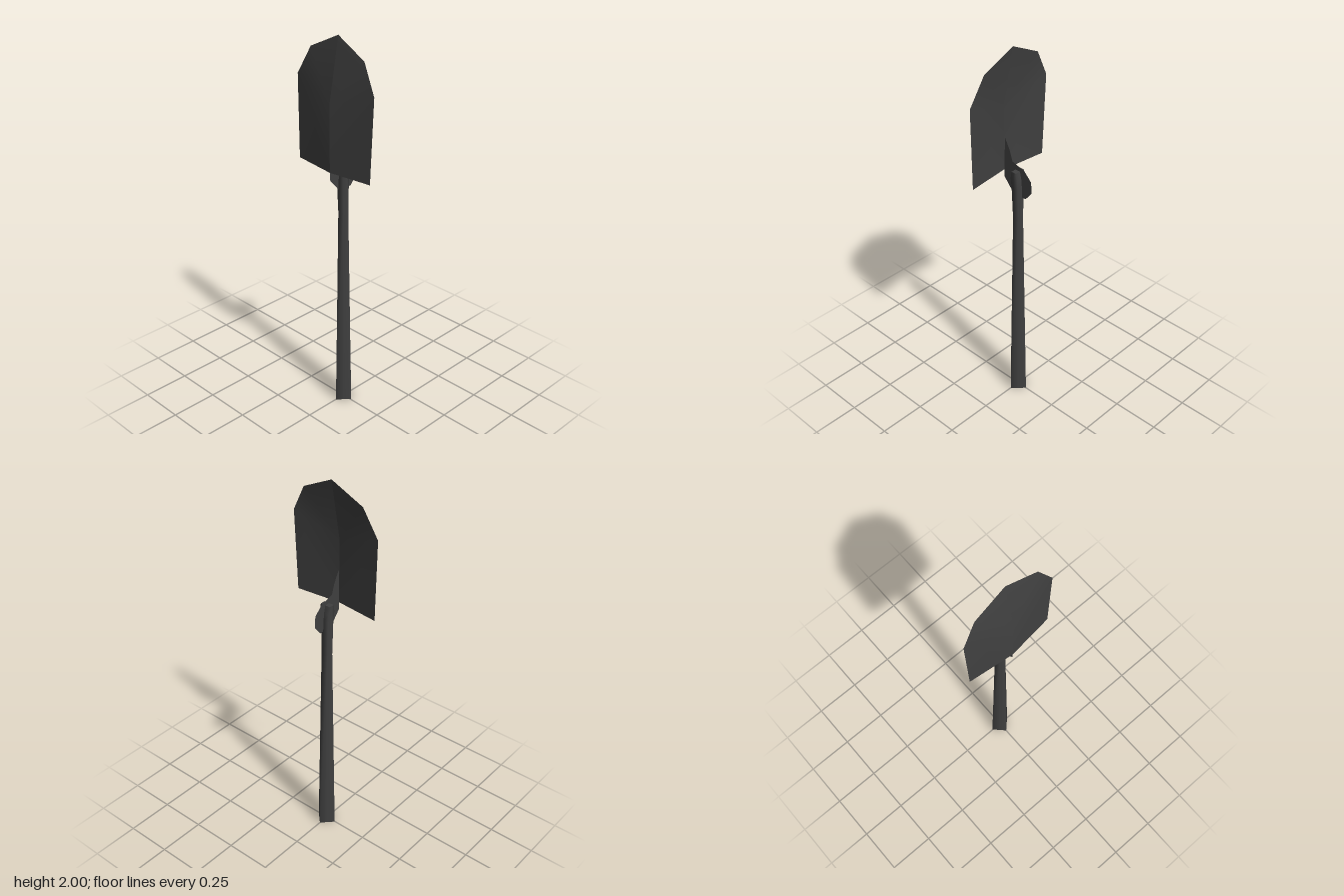
import * as THREE from 'three';

export function createModel() {
  const group = new THREE.Group();
  group.name = 'shovel';
  const steel = new THREE.MeshStandardMaterial({ color: 0x404040, side: THREE.DoubleSide });
  steel.name = 'darkSteel';

  const add = (name, geometry) => {
    const mesh = new THREE.Mesh(geometry, steel);
    mesh.name = name;
    group.add(mesh);
    return mesh;
  };
  const fromTriangles = (points, index) => {
    const g = new THREE.BufferGeometry();
    g.setAttribute('position', new THREE.Float32BufferAttribute(points.flat(), 3));
    g.setIndex(index);
    g.computeVertexNormals();
    return g;
  };

  // Handle: a tapering diamond section that turns rectangular at the top.
  // Each ring: y, centre x, half width, half depth, corner fullness (0.5 diamond, 1 rectangle)
  const rings = [
    [0, 0.002, 0.058, 0.057, 0.5],
    [1.1, 0, 0.033, 0.034, 0.52],
    [1.28, -0.003, 0.029, 0.03, 0.7],
    [1.33, -0.003, 0.024, 0.029, 0.9],
    [1.37, -0.002, 0.014, 0.028, 1],
  ];
  const around = [[1, 0], [1, 1], [0, 1], [-1, 1], [-1, 0], [-1, -1], [0, -1], [1, -1]];
  const ringPoints = ([y, cx, w, d, full]) => around.map(([sx, sz]) => {
    const k = sx && sz ? full : 1;
    return [cx + sx * w * k, y, sz * d * k];
  });
  const index = [];
  for (let r = 0; r < rings.length - 1; r++) {
    for (let i = 0; i < 8; i++) {
      const a = r * 8 + i, b = r * 8 + (i + 1) % 8;
      index.push(a, a + 8, b, b, a + 8, b + 8);
    }
  }
  add('handle', fromTriangles(rings.flatMap(ringPoints), index));

  // End caps
  const cap = (name, ring, top) => {
    const fan = [];
    for (let i = 1; i < 7; i++) fan.push(...(top ? [0, i + 1, i] : [0, i, i + 1]));
    add(name, fromTriangles(ringPoints(ring), fan));
  };
  cap('handleBottom', rings[0], false);
  cap('handleTop', rings[rings.length - 1], true);

  // Hinge: thin upright plate with a spur running up the blade
  const outline = [
    [-0.09, 1.3], [-0.03, 1.23], [0.05, 1.23], [0.09, 1.28], [0.085, 1.34],
    [0.04, 1.385], [-0.037, 1.405], [-0.055, 1.46], [-0.087, 1.52],
  ];
  add('hinge', new THREE.ShapeGeometry(new THREE.Shape(outline.map(p => new THREE.Vector2(...p)))));

  // Blade: thin sheet folded along its middle, leaning forward at the tip
  const spine = [[-0.091, 1.34, 0], [-0.091, 1.68, 0], [-0.032, 2, 0]];
  for (const side of [1, -1]) {
    const rim = [
      [-0.064, 1.342, 0.238 * side],
      [-0.056, 1.77, 0.25 * side],
      [-0.041, 1.915, 0.173 * side],
    ];
    // points: 0-2 spine, 3-5 rim
    const tris = [[0, 1, 4], [0, 4, 3], [1, 5, 4], [1, 2, 5]];
    add(side > 0 ? 'bladeLeft' : 'bladeRight', fromTriangles(
      [...spine, ...rim],
      tris.flatMap(([a, b, c]) => (side > 0 ? [a, b, c] : [a, c, b])),
    ));
  }
  return group;
}
